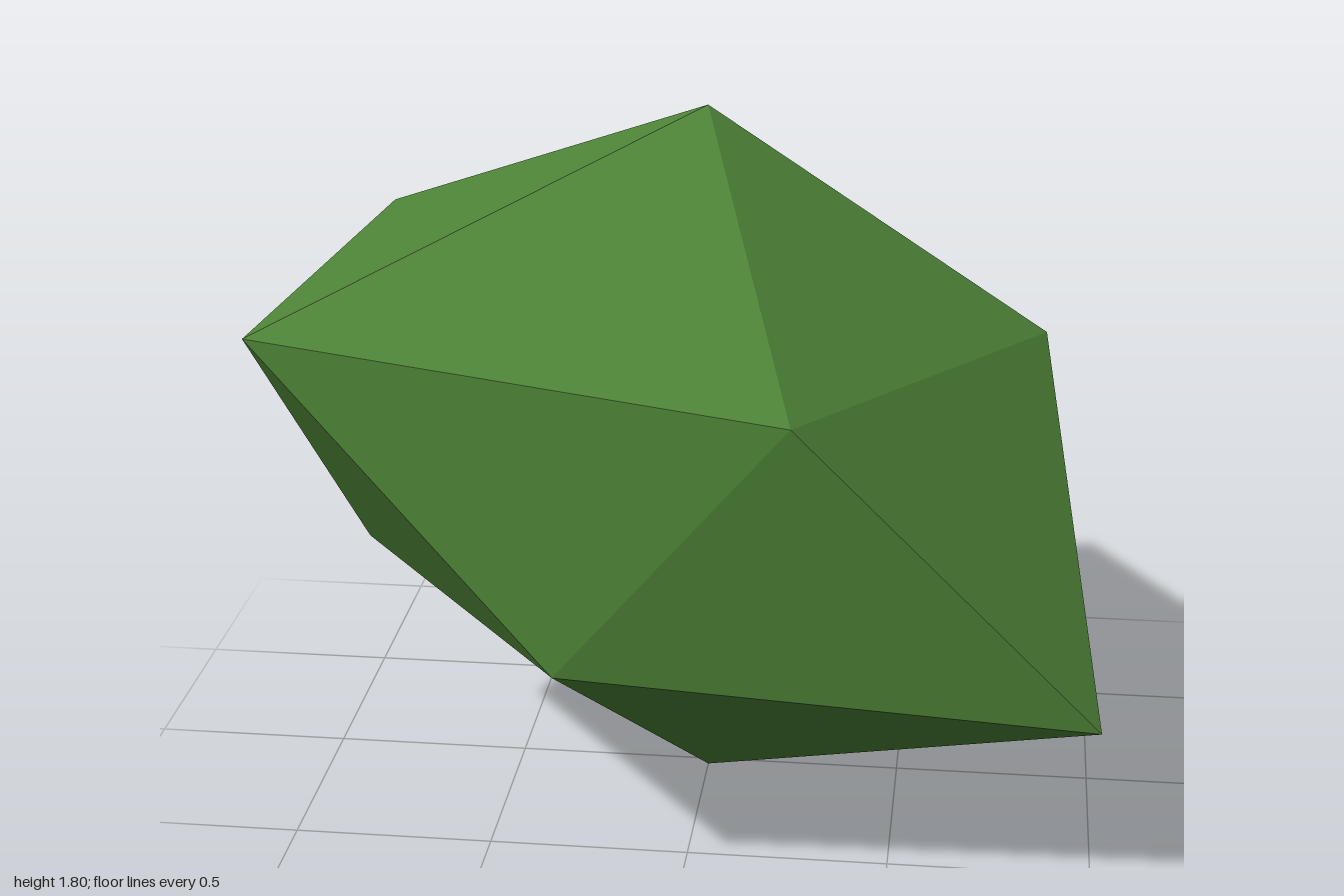
import * as THREE from 'three';

export function createModel() {
  const leafGreen = new THREE.MeshStandardMaterial({ color: 0x4f8538 });
  leafGreen.name = 'leafGreen';

  // Two poles and two staggered rings of five, running from +x towards +z
  const top = [0, 1.8, 0.03];
  const bottom = [0, 0, 0.03];
  const upper = [
    [0.84, 1.25, 0.03], [0.27, 1.26, 0.79], [-1, 1.39, 0.69],
    [-0.93, 1.35, -0.59], [0.29, 1.28, -0.79],
  ];
  const lower = [
    [1, 0.49, 0.69], [-0.28, 0.62, 0.8], [-0.89, 0.62, 0.03],
    [-0.3, 0.59, -0.79], [0.87, 0.55, -0.55],
  ];

  // Cap, two band triangles and base triangle for each fifth
  const corners = [];
  for (let i = 0; i < 5; i++) {
    const j = (i + 1) % 5;
    corners.push(
      top, upper[j], upper[i],
      upper[i], upper[j], lower[i],
      lower[i], upper[j], lower[j],
      bottom, lower[i], lower[j],
    );
  }

  // Unshared corners keep every facet flat
  const geometry = new THREE.BufferGeometry();
  geometry.setAttribute('position', new THREE.Float32BufferAttribute(corners.flat(), 3));
  geometry.computeVertexNormals();

  const bush = new THREE.Mesh(geometry, leafGreen);
  bush.name = 'bush';
  const group = new THREE.Group();
  group.name = 'facetedBush';
  group.add(bush);
  return group;
}
